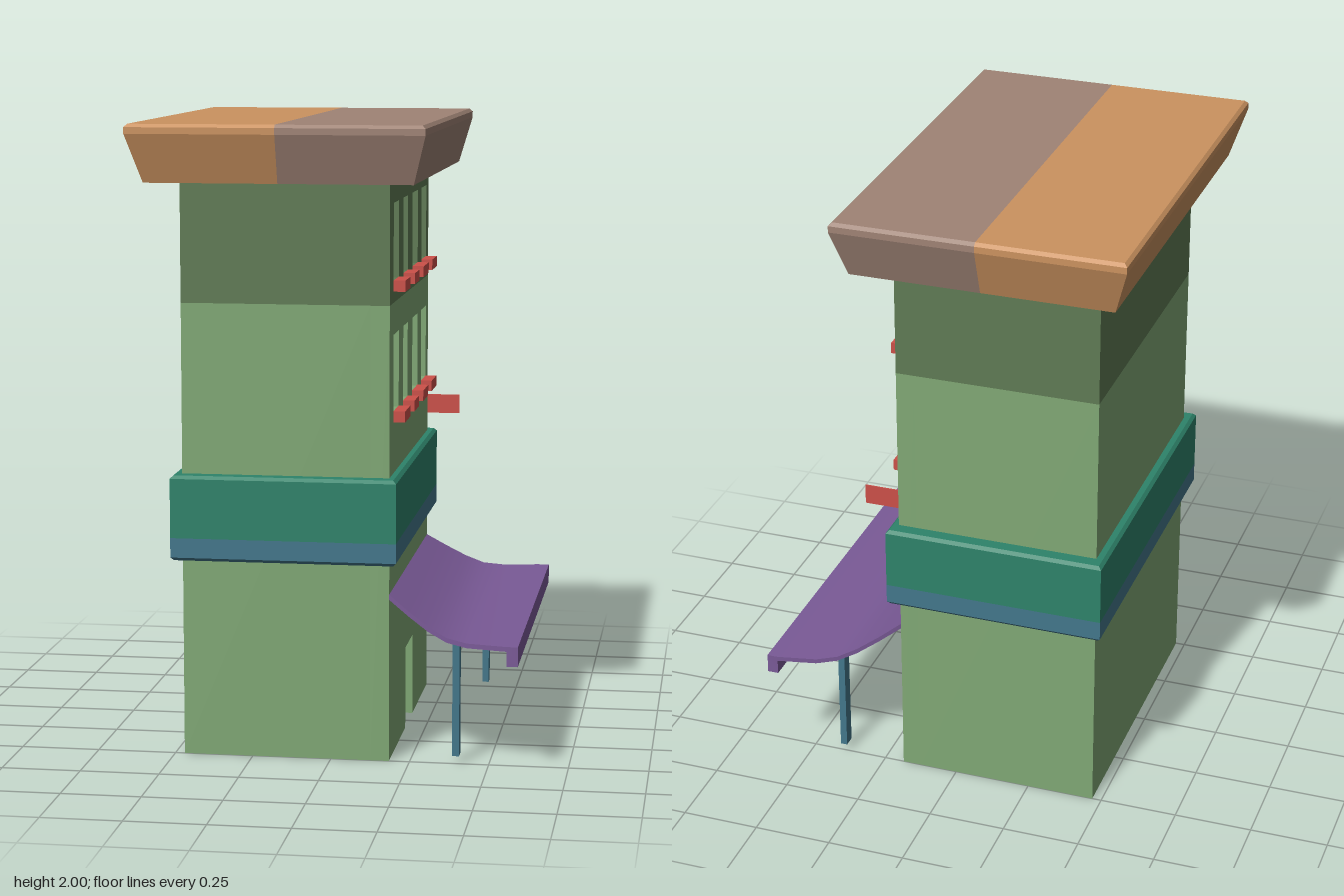
import * as THREE from 'three';
import { toCreasedNormals } from 'three/addons/utils/BufferGeometryUtils.js';

const paint = (name, color) => {
  const m = new THREE.MeshStandardMaterial({ color });
  m.name = name;
  return m;
};

// Skin a stack of four-cornered rings (counter-clockwise seen from the last ring)
function loft(rings, capStart = true, capEnd = true) {
  const pos = [];
  const quad = (a, b, c, d) => pos.push(...a, ...b, ...c, ...a, ...c, ...d);
  for (let k = 0; k < rings.length - 1; k++) {
    const a = rings[k], b = rings[k + 1];
    for (let i = 0; i < 4; i++) {
      const j = (i + 1) % 4;
      quad(a[i], a[j], b[j], b[i]);
    }
  }
  const s = rings[0], e = rings[rings.length - 1];
  if (capStart) quad(s[3], s[2], s[1], s[0]);
  if (capEnd) quad(e[0], e[1], e[2], e[3]);
  const g = new THREE.BufferGeometry();
  g.setAttribute('position', new THREE.Float32BufferAttribute(pos, 3));
  g.computeVertexNormals();
  return g;
}

// Horizontal ring at height y; upright ring at position x
const flatRing = (y, x0, x1, w) => [[x0, y, w], [x1, y, w], [x1, y, -w], [x0, y, -w]];
const uprightRing = (x, yb, yt, w) => [[x, yb, w], [x, yb, -w], [x, yt, -w], [x, yt, w]];

export function createModel() {
  const green = paint('wallGreen', 0x80a875);
  const darkGreen = paint('upperWallGreen', 0x5f7b54);
  const teal = paint('bandTeal', 0x2e836a);
  const blue = paint('postBlue', 0x43778b);
  const purple = paint('awningPurple', 0x7a5a97);
  const red = paint('sillRed', 0xcc5049);
  const orange = paint('roofOrange', 0xcb925f);
  const brown = paint('roofBrown', 0x9f8375);
  const dark = paint('doorDark', 0x3d3b46);
  const light = paint('glassLight', 0xcccccc);

  const root = new THREE.Group();
  root.name = 'building';
  const add = (name, geometry, material, parent = root) => {
    const m = new THREE.Mesh(geometry, material);
    m.name = name;
    parent.add(m);
    return m;
  };
  // Box given by its extents
  const box = (name, mat, x0, x1, y0, y1, z0, z1, parent) => {
    const m = add(name, new THREE.BoxGeometry(x1 - x0, y1 - y0, z1 - z0), mat, parent);
    m.position.set((x0 + x1) / 2, (y0 + y1) / 2, (z0 + z1) / 2);
    return m;
  };

  const BACK = -0.47, INNER = 0.125, FACE = 0.185, SPLIT = 1.44, TOP = 1.82;
  const columns = [[0.28, 0.41], [0.055, 0.17], [-0.205, -0.065], [-0.44, -0.305]];
  const floors = [1.065, 1.475];
  const sillH = 0.035, winH = 0.275;

  // Street wall panel lies in (-z, y), then turns to face +x
  const poly = (pts) => new THREE.Shape(pts.map(([x, y]) => new THREE.Vector2(x, y)));
  const panel = (name, mat, outline, floorY) => {
    const shape = poly(outline);
    for (const [z0, z1] of columns) {
      const b = floorY + sillH * 0.9, t = floorY + winH;
      shape.holes.push(poly([[-z1, b], [-z1, t], [-z0, t], [-z0, b]]));
    }
    const g = new THREE.ExtrudeGeometry(shape, { depth: FACE - INNER, bevelEnabled: false });
    g.rotateY(Math.PI / 2).translate(INNER, 0, 0);
    add(name, g, mat);
  };

  // Walls: solid core behind a panel with door and window openings
  box('lowerWalls', green, BACK, INNER, 0, SPLIT, -0.5, 0.5);
  box('upperWalls', darkGreen, BACK, INNER, SPLIT, TOP, -0.5, 0.5);
  panel('lowerStreetWall', green, [[-0.5, 0], [-0.09, 0], [-0.09, 0.27], [0.1, 0.27],
    [0.1, 0], [0.5, 0], [0.5, SPLIT], [-0.5, SPLIT]], floors[0]);
  panel('upperStreetWall', darkGreen,
    [[-0.5, SPLIT], [0.5, SPLIT], [0.5, TOP], [-0.5, TOP]], floors[1]);
  box('door', dark, INNER, INNER + 0.005, 0.002, 0.27, -0.1, 0.09);

  // Windows: three-coloured glass (unit coordinates) and a sill
  const glass = [
    ['paneDark', dark, [[0, 0], [1, 0], [1, 0.24], [0.6, 0.3], [0.3, 0.43], [0.2, 0.46], [0, 0.5]]],
    ['paneBrown', brown, [[0, 0.5], [0.2, 0.46], [0.37, 1], [0, 1]]],
    ['paneLight', light, [[0.2, 0.46], [0.3, 0.43], [0.6, 0.3], [1, 0.24], [1, 1], [0.37, 1]]],
  ];
  for (const y of floors) {
    for (const [z0, z1] of columns) {
      const win = new THREE.Group();
      win.name = 'window';
      root.add(win);
      for (const [name, mat, pts] of glass) {
        const g = new THREE.ShapeGeometry(poly(pts));
        g.scale(z1 - z0, winH - sillH, 1).rotateY(Math.PI / 2);
        g.translate(INNER + 0.004, y + sillH, z1);
        add(name, g, mat, win);
      }
      box('sill', red, FACE, 0.222, y, y + sillH, z0, z1, win);
    }
  }

  // Band around the walls, blue at its foot
  add('bandFoot', loft([
    flatRing(0.633, -0.49, 0.202, 0.54), flatRing(0.643, -0.5, 0.212, 0.55),
    flatRing(0.705, -0.5, 0.212, 0.55)], true, false), blue);
  add('band', loft([
    flatRing(0.705, -0.5, 0.212, 0.55), flatRing(0.893, -0.5, 0.212, 0.55),
    flatRing(0.903, -0.49, 0.202, 0.54)], false, true), teal);

  // Flared roof slab in two colours, meeting at x = -0.14
  const roof = [[1.82, -0.555, 0.275, 0.637], [1.97, -0.602, 0.316, 0.688],
    [1.99, -0.602, 0.316, 0.688], [2, -0.592, 0.306, 0.678]];
  add('roofBack', loft(roof.map(([y, x0, , w]) => flatRing(y, x0, -0.14, w))), orange);
  add('roofFront', loft(roof.map(([y, , x1, w]) => flatRing(y, -0.14, x1, w))), brown);

  // Awning sweeping out from the wall, ending in a hanging lip
  const awning = [
    [0.185, 0.518, 0.535, 0.5], [0.25, 0.475, 0.491, 0.535], [0.315, 0.435, 0.451, 0.565],
    [0.375, 0.408, 0.423, 0.588], [0.44, 0.398, 0.413, 0.61], [0.565, 0.397, 0.412, 0.635],
    [0.565, 0.35, 0.412, 0.635], [0.6, 0.35, 0.412, 0.635]];
  add('awning', toCreasedNormals(loft(awning.map((r) => uprightRing(...r))), 0.5), purple);
  for (const s of [-1, 1]) {
    const post = box('awningPost', blue, 0.385, 0.407, 0.025, 0.408, -0.02, 0.02);
    post.position.z = s * 0.484;
  }

  // Thin sign plate at the rear corner of the street wall
  box('signPlate', red, FACE, 0.296, 0.963, 1.027, -0.499, -0.495);

  return root;
}
